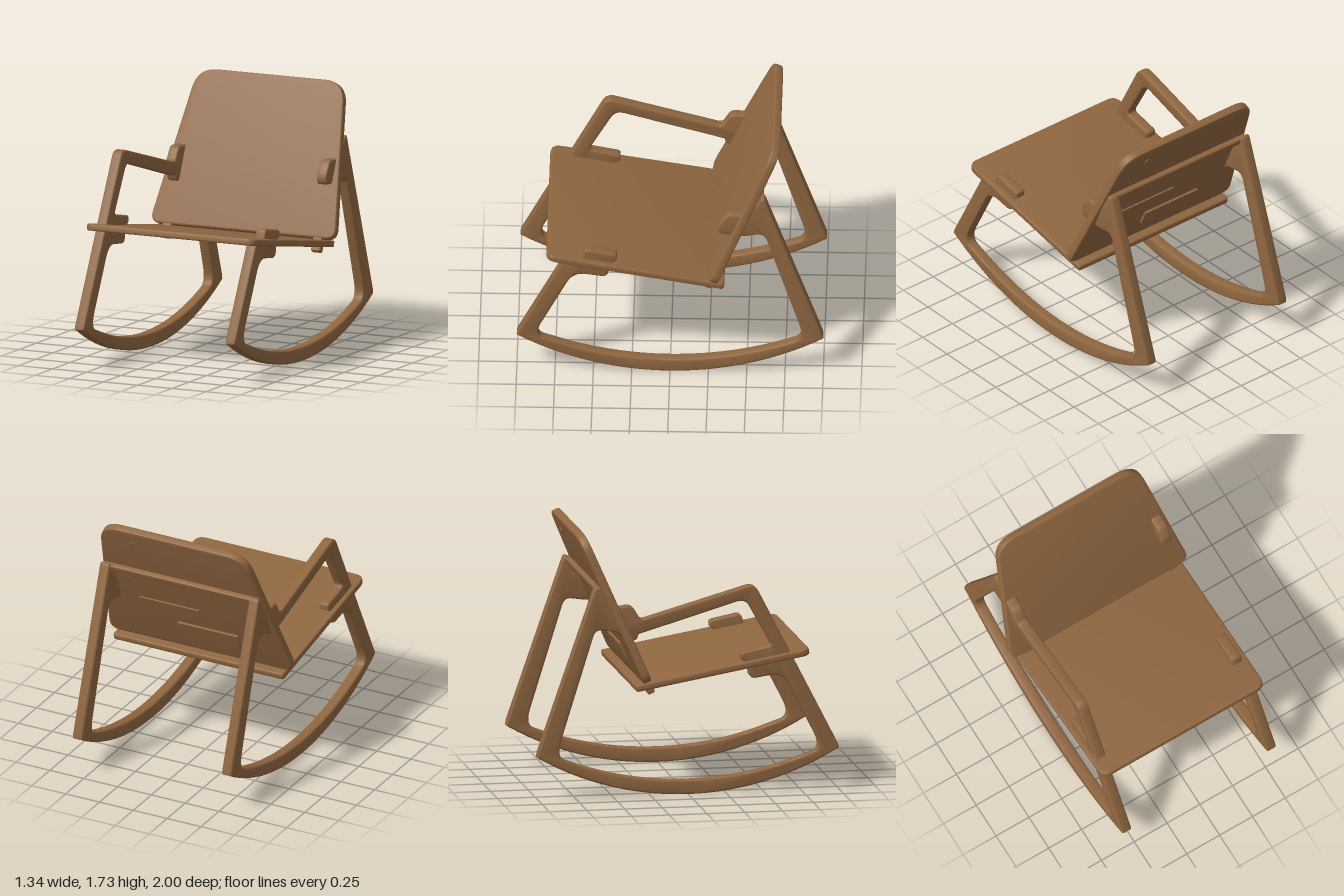
import * as THREE from 'three';
import { toCreasedNormals } from 'three/addons/utils/BufferGeometryUtils.js';
import { RoundedBoxGeometry } from 'three/addons/geometries/RoundedBoxGeometry.js';

// Closed path through [x, y, cornerRadius] points, with rounded corners
function roundedPath(points, PathClass = THREE.Shape) {
  const path = new PathClass();
  const n = points.length;
  const toward = (a, b, r) => {
    const d = Math.hypot(b[0] - a[0], b[1] - a[1]);
    const t = Math.min(r / d, 0.48);
    return [a[0] + (b[0] - a[0]) * t, a[1] + (b[1] - a[1]) * t];
  };
  points.forEach((p, i) => {
    const r = p[2] || 0;
    const start = r ? toward(p, points[(i + n - 1) % n], r) : p;
    if (i === 0) path.moveTo(start[0], start[1]);
    else path.lineTo(start[0], start[1]);
    if (r) {
      const end = toward(p, points[(i + 1) % n], r);
      path.quadraticCurveTo(p[0], p[1], end[0], end[1]);
    }
  });
  path.closePath();
  return path;
}

// Board of the given thickness, centred on its own plane, with softened edges
function board(shape, thickness, bevel) {
  const geometry = new THREE.ExtrudeGeometry(shape, {
    depth: thickness - 2 * bevel, bevelEnabled: true, bevelThickness: bevel,
    bevelSize: bevel, bevelOffset: -bevel, bevelSegments: 3, curveSegments: 8,
  });
  geometry.translate(0, 0, -thickness / 2 + bevel);
  return toCreasedNormals(geometry, 0.6);
}

// Points on a shallow arc y = base + sagging circle, from z0 to z1
function arc(z0, z1, base, radius, steps = 28) {
  return Array.from({ length: steps + 1 }, (_, i) => {
    const z = z0 + (z1 - z0) * i / steps;
    return [z, base + radius - Math.sqrt(radius * radius - z * z)];
  });
}

export function createModel() {
  const chair = new THREE.Group();
  chair.name = 'rockingChair';
  const wood = new THREE.MeshStandardMaterial({ color: 0x8f6640 });
  wood.name = 'brown wood';

  const add = (parent, name, geometry, x = 0, y = 0, z = 0) => {
    const mesh = new THREE.Mesh(geometry, wood);
    mesh.name = name;
    mesh.position.set(x, y, z);
    parent.add(mesh);
    return mesh;
  };

  // Side frame profiles, as [z, y, cornerRadius]
  const rockerAndBackLeg = [
    ...arc(1, -1, 0.005, 1.95), [-0.998, 0.31],
    [-0.615, 1.41, 0.035], [-0.575, 1.375], [-0.52, 1.28],
    [-0.45, 1.265], [-0.375, 1.275, 0.04],
  ];
  const innerEdge = [
    [-0.48, 1.1], [-0.615, 1.12, 0.05], [-0.877, 0.28, 0.11],
    ...arc(-0.74, 0.74, 0.1, 2.19), [0.89, 0.28, 0.11],
    [0.63, 0.79, 0.09], [0.405, 0.755, 0.05], [0.395, 0.86],
    [0.35, 0.89], [0.345, 0.933, 0.025], [0.555, 0.975, 0.03],
  ];

  // Frame without armrest: ends in tabs through seat and back
  const openFrame = roundedPath([
    ...rockerAndBackLeg, [-0.31, 1.17, 0.04], [-0.32, 1.115, 0.03], [-0.42, 1.11],
    ...innerEdge, [0.575, 0.9], [0.69, 0.9], [0.995, 0.305],
  ]);

  // Frame with armrest: a closed loop
  const armFrame = roundedPath([
    ...rockerAndBackLeg, [-0.315, 1.175, 0.03], [0.44, 1.39, 0.06], [0.995, 0.305],
  ]);
  armFrame.holes.push(roundedPath([
    [0.38, 1.29, 0.06], [-0.33, 1.08], [-0.34, 1.045, 0.015], [-0.39, 1.035],
    ...innerEdge,
  ], THREE.Path));

  add(chair, 'leftSideFrame', board(openFrame, 0.072, 0.012), 0.548).rotation.y = -Math.PI / 2;
  add(chair, 'rightSideFrame', board(armFrame, 0.072, 0.012), -0.555).rotation.y = -Math.PI / 2;

  // Seat: local y runs to the front, local z runs down
  const seat = new THREE.Group();
  seat.name = 'seat';
  seat.position.set(0, 0.826, 0.226);
  seat.rotation.x = THREE.MathUtils.degToRad(80);
  chair.add(seat);
  const seatShape = roundedPath([
    [-0.63, -0.588, 0.02], [0.63, -0.588, 0.02], [0.62, 0.588, 0.07], [-0.62, 0.588, 0.07],
  ]);
  add(seat, 'seatBoard', board(seatShape, 0.044, 0.01));
  add(seat, 'seatUnderPlate', new THREE.BoxGeometry(0.26, 0.17, 0.008), -0.05, 0.2, 0.023);

  // Backrest: local y runs up the board, local z faces forward
  const back = new THREE.Group();
  back.name = 'backrest';
  back.position.set(0, 0.764, -0.276);
  back.rotation.x = THREE.MathUtils.degToRad(-23.4);
  chair.add(back);
  const backShape = roundedPath([
    [-0.68, 0, 0.08], [0.68, 0, 0.08], [0.535, 1.054, 0.14], [-0.535, 1.054, 0.14],
  ]);
  add(back, 'backBoard', board(backShape, 0.055, 0.01));
  for (const x of [-0.55, 0.55]) {
    add(back, 'backPeg', new RoundedBoxGeometry(0.07, 0.14, 0.05, 2, 0.012), x, -0.02, 0);
  }
  add(back, 'backSlat', new THREE.BoxGeometry(0.44, 0.03, 0.016), 0.15, 0.4, -0.03);
  add(back, 'backPlate', new THREE.BoxGeometry(0.44, 0.11, 0.02), -0.1, 0.19, -0.033);
  add(back, 'backPlug', new THREE.CylinderGeometry(0.022, 0.022, 0.008, 16), 0.32, 0.93, -0.028)
    .rotation.x = Math.PI / 2;

  // Crossbar joining the tops of the back legs
  add(back, 'crossbar', new RoundedBoxGeometry(1.15, 0.055, 0.04, 2, 0.012), 0, 0.675, -0.045);

  return chair;
}
